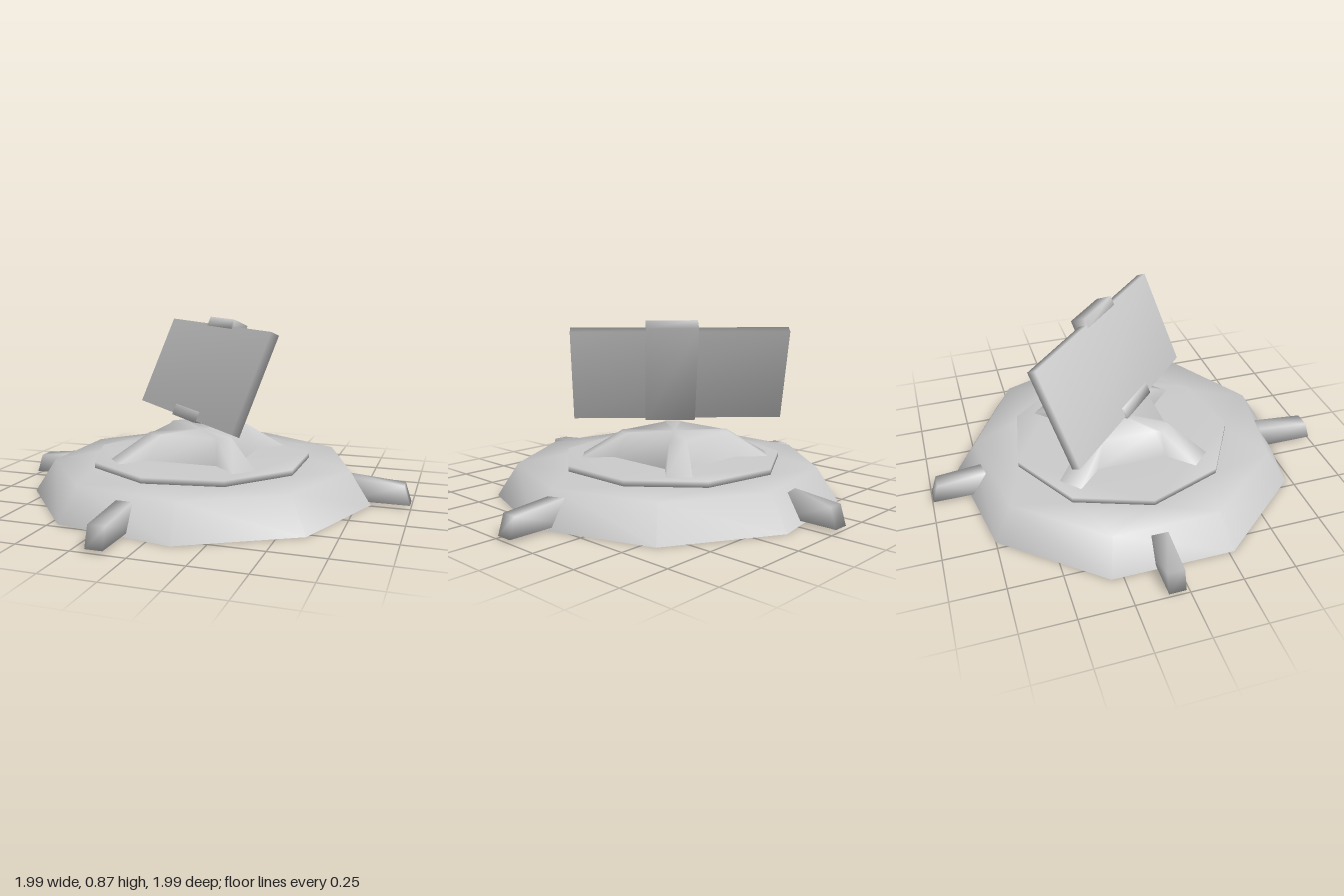
import * as THREE from 'three';
import { mergeVertices } from 'three/addons/utils/BufferGeometryUtils.js';

const material = new THREE.MeshStandardMaterial({ color: 0xcccccc, side: THREE.DoubleSide });
const SIDES = 9;
const PLATE = { x: -0.05, z: -0.03, radius: 0.552 };

// Adds a mesh whose shared corners are shaded smoothly
function part(name, geometry, parent) {
  geometry.deleteAttribute('uv');
  geometry.deleteAttribute('normal');
  const smooth = mergeVertices(geometry);
  smooth.computeVertexNormals();
  const mesh = new THREE.Mesh(smooth, material);
  mesh.name = name;
  parent.add(mesh);
  return mesh;
}

// Side profile given a width, centred on it
function extrude(points, width) {
  const shape = new THREE.Shape(points.map(([x, y]) => new THREE.Vector2(x, y)));
  const geometry = new THREE.ExtrudeGeometry(shape, { depth: width, bevelEnabled: false });
  return geometry.translate(0, 0, -width / 2);
}

// Corner of the plate outline, which has a point towards -x
function plateCorner(i) {
  const angle = Math.PI + (i * 2 * Math.PI) / SIDES;
  return [PLATE.x + PLATE.radius * Math.cos(angle), PLATE.z + PLATE.radius * Math.sin(angle)];
}

// Sloping wall and flat shoulder; the inner edge follows the plate outline
function baseGeometry() {
  const profile = [[0.85, 0], [0.747, 0.16], [0.552, 0.16]].map(([r, y]) => new THREE.Vector2(r, y));
  const geometry = new THREE.LatheGeometry(profile, SIDES, Math.PI / 2).translate(-0.035, 0, -0.015);
  const position = geometry.attributes.position;
  for (let i = 0; i <= SIDES; i++) {
    const [x, z] = plateCorner((2 * SIDES + 4 - i) % SIDES);
    position.setXYZ(i * 3 + 2, x, 0.16, z);
  }
  return geometry;
}

// Four-armed pedestal: one corner's outline turned through four quarters
function pedestalGeometry() {
  const rings = [
    { y: 0.188, corner: [[0.255, 0.17], [0.37, 0.285], [0.285, 0.367], [0.17, 0.255]] },
    { y: 0.31, corner: [[0.2, 0.13], [0.213, 0.16], [0.16, 0.213], [0.13, 0.2]] },
  ];
  const positions = [];
  for (const { y, corner } of rings) {
    for (let quarter = 0; quarter < 4; quarter++) {
      for (let [x, z] of corner) {
        for (let i = 0; i < quarter; i++) [x, z] = [-z, x];
        positions.push(x, y, z);
      }
    }
  }
  positions.push(0, 0.31, 0);
  const n = 16;
  const index = [];
  for (let i = 0; i < n; i++) {
    const j = (i + 1) % n;
    index.push(i, n + i, j, j, n + i, n + j); // sloping side
    index.push(2 * n, n + j, n + i); // top
  }
  const geometry = new THREE.BufferGeometry();
  geometry.setAttribute('position', new THREE.Float32BufferAttribute(positions, 3));
  geometry.setIndex(index);
  return geometry;
}

export function createModel() {
  const model = new THREE.Group();
  model.name = 'turretStation';

  // Hollow base, open underneath
  part('baseShell', baseGeometry(), model);

  // Raised plate closing the middle of the base
  const outline = Array.from({ length: SIDES }, (_, i) => plateCorner(i));
  const plate = extrude(outline, 0.03).rotateX(Math.PI / 2);
  part('raisedPlate', plate, model).position.y = 0.173;

  part('pedestal', pedestalGeometry(), model).position.set(-0.058, 0, -0.045);

  // Four wedge feet: name, direction, position, inner end
  const feet = [
    ['leftFoot', 0, [0, -0.053], 0.7],
    ['backFoot', Math.PI / 2, [-0.078, 0], 0.73],
    ['rightFoot', Math.PI, [0, -0.058], 0.75],
    ['frontFoot', -Math.PI / 2, [-0.143, 0], 0.7],
  ];
  for (const [name, angle, [x, z], inner] of feet) {
    const profile = [[inner, 0.015], [0.997, 0.015], [0.967, 0.108], [inner, 0.132]];
    const foot = part(name, extrude(profile, 0.08), model);
    foot.rotation.y = angle;
    foot.position.set(x, 0, z);
  }

  // Leaning panel, floating over the pedestal
  const panel = new THREE.Group();
  panel.name = 'panelAssembly';
  panel.position.set(-0.055, 0.6, -0.073);
  panel.rotation.set(-0.42, -0.772, 0, 'YXZ');
  model.add(panel);
  part('panel', new THREE.BoxGeometry(1.05, 0.495, 0.045), panel);

  // Bracket down the back of the panel, hooked over its top and bottom edges
  const bracket = extrude([
    [-0.054, -0.24], [0.032, -0.258], [0.032, -0.2], [0.012, -0.2],
    [0.012, 0.235], [0.03, 0.235], [0.03, 0.282], [-0.054, 0.282],
  ], 0.25);
  part('bracket', bracket.rotateY(-Math.PI / 2), panel).position.x = 0.04;

  return model;
}
